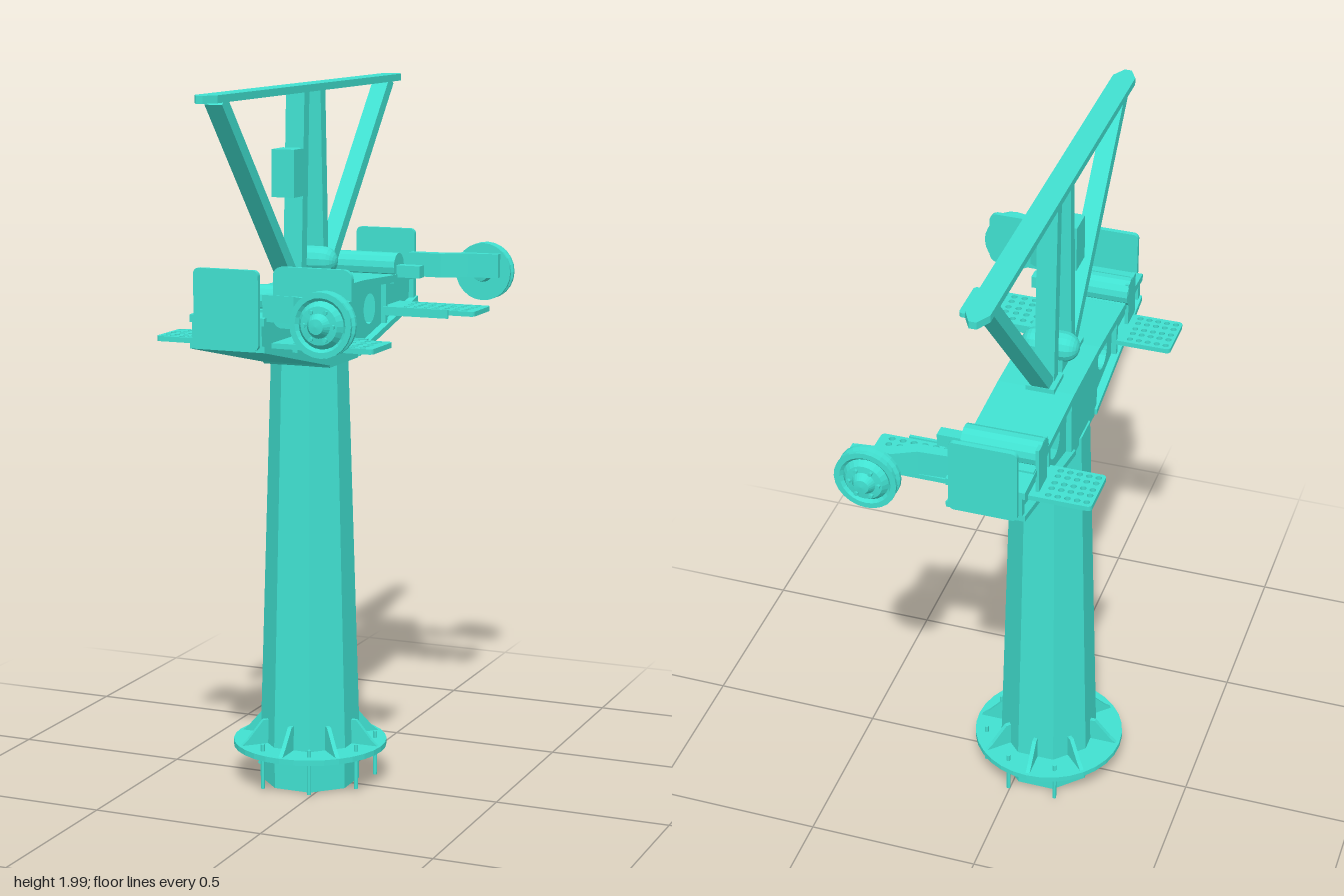
import * as THREE from 'three';

const CX = -0.07; // tower axis

export function createModel() {
  const root = new THREE.Group();
  root.name = 'cablewayTower';
  const mat = new THREE.MeshStandardMaterial({ color: 0x40e0d0, flatShading: true });

  const add = (name, geo, x = 0, y = 0, z = 0) => {
    const m = new THREE.Mesh(geo, mat);
    m.name = name;
    m.position.set(x, y, z);
    root.add(m);
    return m;
  };
  // box given by its limits
  const box = (name, x0, x1, y0, y1, z0, z1) =>
    add(name, new THREE.BoxGeometry(x1 - x0, y1 - y0, Math.abs(z1 - z0)), (x0 + x1) / 2, (y0 + y1) / 2, (z0 + z1) / 2);
  const extrude = (shape, depth) =>
    new THREE.ExtrudeGeometry(shape, { depth, bevelEnabled: false, curveSegments: 10 });
  const polygon = (pts) => new THREE.Shape(pts.map(([a, b]) => new THREE.Vector2(a, b)));
  // profile in the z-y plane, spanning x0..x1
  const sidePart = (name, shape, x0, x1) => add(name, extrude(shape, x1 - x0).rotateY(-Math.PI / 2), x1);
  // profile in the x-z plane, spanning y0..y1
  const planPart = (name, pts, y0, y1) =>
    add(name, extrude(polygon(pts.map(([x, z]) => [x, -z])), y1 - y0).rotateX(-Math.PI / 2), 0, y0);
  const hole = (shape, x, y, r) => shape.holes.push(new THREE.Path().absarc(x, y, r, 0, Math.PI * 2, true));
  const roundedRect = (x0, x1, y0, y1, r) => {
    const s = new THREE.Shape();
    s.absarc(x1 - r, y1 - r, r, 0, Math.PI / 2);
    s.absarc(x0 + r, y1 - r, r, Math.PI / 2, Math.PI);
    s.absarc(x0 + r, y0 + r, r, Math.PI, Math.PI * 1.5);
    s.absarc(x1 - r, y0 + r, r, Math.PI * 1.5, Math.PI * 2);
    return s;
  };
  // straight bar in the z-y plane
  const bar = (name, x, [z0, y0], [z1, y1], w, t) => {
    const m = add(name, new THREE.BoxGeometry(w, Math.hypot(z1 - z0, y1 - y0), t), x, (y0 + y1) / 2, (z0 + z1) / 2);
    m.rotation.x = Math.atan2(z1 - z0, y1 - y0);
  };
  // octagonal column with flats facing front and sides
  const octagon = (name, flatTop, flatBottom, y0, y1) => {
    const k = 1 / Math.cos(Math.PI / 8);
    add(name, new THREE.CylinderGeometry(flatTop * k, flatBottom * k, y1 - y0, 8).rotateY(Math.PI / 8), CX, (y0 + y1) / 2);
  };

  // Tower and foundation
  octagon('baseDrum', 0.13, 0.13, 0.01, 0.12);
  octagon('towerShaft', 0.1, 0.132, 0.12, 1.25);
  add('baseFlange', new THREE.CylinderGeometry(0.22, 0.22, 0.016, 32), CX, 0.122);
  const gusset = polygon([[0.11, 0.13], [0.21, 0.13], [0.19, 0.148], [0.145, 0.2], [0.11, 0.2]]);
  for (let i = 0; i < 8; i++) {
    const a = (i * Math.PI) / 4;
    add('baseGusset', extrude(gusset, 0.012).translate(0, 0, -0.006).rotateY(a), CX);
    if (i === 3 || i === 4) continue;
    const b = a + Math.PI / 8;
    add('anchorBolt', new THREE.CylinderGeometry(0.006, 0.006, 0.13, 6),
      CX + 0.187 * Math.cos(b), 0.085, -0.187 * Math.sin(b));
  }
  const hook = add('groundHook', new THREE.BoxGeometry(0.045, 0.01, 0.012), -0.215, 0.05, 0);
  hook.rotation.z = 0.8;

  // Central head of the crossarm
  sidePart('headBox', polygon([[-0.12, 1.44], [-0.12, 1.25], [-0.1, 1.23], [0.1, 1.23], [0.12, 1.25], [0.12, 1.44]]), -0.165, 0.035);

  for (const s of [1, -1]) {
    // Tapered arm: box web with a round opening, flanges above and below
    const web = polygon([[0.11 * s, 1.25], [0.54 * s, 1.35], [0.54 * s, 1.41], [0.11 * s, 1.43]]);
    hole(web, 0.222 * s, 1.353, 0.044);
    sidePart('armWeb', web, -0.15, 0.02);
    sidePart('armTopFlange', polygon([[0, 1.425], [0.12 * s, 1.425], [0.55 * s, 1.405], [0.55 * s, 1.425], [0.12 * s, 1.447], [0, 1.447]]), -0.172, 0.042);
    sidePart('armBottomFlange', polygon([[0.1 * s, 1.235], [0.55 * s, 1.335], [0.55 * s, 1.352], [0.1 * s, 1.252]]), -0.172, 0.042);
    box('armEndCap', -0.165, 0.035, 1.34, 1.42, 0.53 * s, 0.55 * s);
    box('armRib', -0.165, 0.035, 1.3, 1.42, 0.31 * s, 0.322 * s);

    // Upright plate at the end of the arm
    add('endPlate', extrude(roundedRect(-0.155, 0.03, 1.34, 1.55, 0.015), 0.014), 0, 0, 0.555 * s - 0.007);

    // Cross bracket with a rounded bearing
    add('crossBearing', new THREE.CylinderGeometry(0.04, 0.04, 0.215, 14).rotateZ(Math.PI / 2), -0.07, 1.455, 0.405 * s);
    box('crossBracket', -0.178, 0.11, 1.425, 1.46, 0.385 * s, 0.42 * s);
    box('bearingFoot', -0.17, 0.04, 1.41, 1.435, 0.36 * s, 0.47 * s);
    box('bracketPlate', -0.178, -0.168, 1.36, 1.49, 0.38 * s, 0.45 * s);

    // Perforated walkway, passing through the arm
    const deck = roundedRect(-0.32, 0.305, 0.31, 0.455, 0.012);
    for (const z of [0.327, 0.352, 0.382, 0.407, 0.437]) {
      for (let i = 0; i < 5; i++) hole(deck, -0.303 + i * 0.026, z, 0.0085);
      for (let i = 0; i < 7; i++) hole(deck, 0.085 + i * 0.031, z, 0.009);
    }
    const deckGeo = extrude(deck, 0.014).rotateX(-Math.PI / 2); // lies at z -0.455..-0.31
    add('walkway', deckGeo, 0, 1.333, s > 0 ? 0.765 : 0);
    box('walkwayBrace', 0.03, 0.23, 1.325, 1.35, 0.298 * s, 0.307 * s);

    // Bent arm carrying the guide wheel
    planPart('wheelArm', [[0.03, 0.505 * s], [0.13, 0.505 * s], [0.2, 0.545 * s], [0.29, 0.555 * s], [0.29, 0.575 * s],
      [0.18, 0.57 * s], [0.12, 0.54 * s], [0.03, 0.535 * s]], 1.415, 1.485);
    if (s > 0) add('wheelGuard', extrude(roundedRect(0.06, 0.28, 1.4, 1.56, 0.025), 0.014), 0, 0, 0.52);

    // Guide wheel: grooved rim and stepped hub
    const profile = [[0, -0.05], [0.025, -0.045], [0.03, -0.02], [0.085, -0.02], [0.085, -0.011], [0.076, -0.006],
      [0.076, 0.006], [0.085, 0.011], [0.085, 0.02], [0.07, 0.02], [0.062, 0.012], [0.05, 0.028], [0.032, 0.03], [0.02, 0.048], [0, 0.05]];
    const wheelGeo = new THREE.LatheGeometry(profile.map(([r, h]) => new THREE.Vector2(r, h)), 24).rotateX((s * Math.PI) / 2);
    add('guideWheel', wheelGeo, 0.232, 1.428, 0.607 * s);
    for (let i = 0; i < 6; i++) {
      const a = (i * Math.PI) / 3;
      add('wheelBolt', new THREE.CylinderGeometry(0.006, 0.006, 0.01, 6).rotateX(Math.PI / 2),
        0.232 + 0.04 * Math.cos(a), 1.428 + 0.04 * Math.sin(a), 0.639 * s);
    }

    // Overhead frame: upright and diagonal, with foot plate
    bar('framePost', -0.08, [0.08 * s, 1.43], [0.055 * s, 1.985], 0.055, 0.034);
    bar('frameDiagonal', -0.08, [0.1 * s, 1.45], [0.575 * s, 1.985], 0.05, 0.036);
    box('frameFoot', -0.12, -0.04, 1.44, 1.46, 0.05 * s, 0.135 * s);
  }

  // Overhead top bar with pointed ends
  planPart('frameTopBar', [[-0.112, -0.63], [-0.09, -0.67], [-0.07, -0.67], [-0.048, -0.63],
    [-0.048, 0.63], [-0.07, 0.67], [-0.09, 0.67], [-0.112, 0.63]], 1.98, 2);

  // Equipment box on the front post
  box('equipmentBox', -0.112, -0.045, 1.7, 1.83, 0.085, 0.16);

  // Rounded housing on top of the head
  add('housing', new THREE.CapsuleGeometry(0.041, 0.08, 6, 14).rotateZ(Math.PI / 2), -0.068, 1.512, 0);
  box('housingFoot', -0.11, -0.03, 1.44, 1.49, -0.03, 0.03);

  return root;
}
